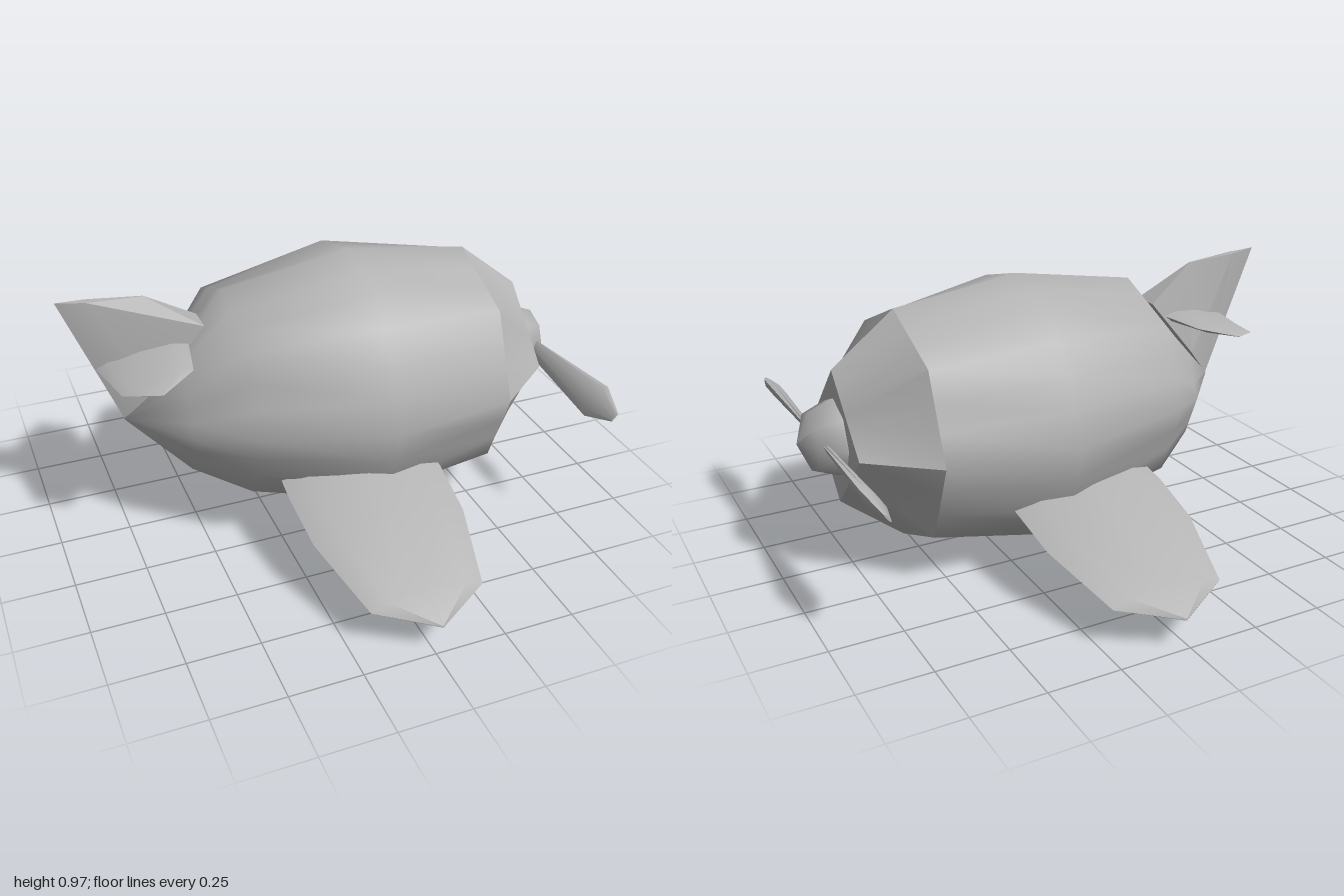
import * as THREE from 'three';
import { toCreasedNormals } from 'three/addons/utils/BufferGeometryUtils.js';

// Skin a list of equal-length point rings, cap both ends, face outwards.
function loft(rings, crease) {
  const n = rings[0].length, tris = [];
  for (let i = 0; i < rings.length - 1; i++) {
    for (let j = 0; j < n; j++) {
      const k = (j + 1) % n, a = rings[i], b = rings[i + 1];
      tris.push([a[j], a[k], b[k]], [a[j], b[k], b[j]]);
    }
  }
  const cap = (ring, flip) => {
    const c = [0, 1, 2].map(q => ring.reduce((s, p) => s + p[q], 0) / n);
    for (let j = 0; j < n; j++) {
      const k = (j + 1) % n;
      tris.push(flip ? [c, ring[k], ring[j]] : [c, ring[j], ring[k]]);
    }
  };
  cap(rings[0], true);
  cap(rings[rings.length - 1], false);

  const vec = p => new THREE.Vector3(...p);
  let volume = 0;
  const solid = tris.filter(t => {
    const [a, b, c] = t.map(vec);
    volume += a.dot(b.clone().cross(c));
    return b.sub(a).cross(c.sub(a)).length() > 1e-8;
  });
  const points = solid.flatMap(t => (volume < 0 ? [t[0], t[2], t[1]] : t).flat());
  const geo = new THREE.BufferGeometry();
  geo.setAttribute('position', new THREE.Float32BufferAttribute(points, 3));
  return toCreasedNormals(geo, crease);
}

// Regular polygon across x, sampled at 24 angles so that rings with
// different side counts can be joined.
function hullRing(x, cy, ry, rz, sides, lean = 0) {
  const step = (Math.PI * 2) / sides;
  return Array.from({ length: 24 }, (_, i) => {
    const a = (i / 24) * Math.PI * 2;
    const r = Math.cos(step / 2) / Math.cos((((i * sides) % 24) / 24) * Math.PI * 2 / sides - step / 2);
    return [x + lean * Math.cos(a), cy + ry * r * Math.cos(a), rz * r * Math.sin(a)];
  });
}

// Lens-shaped section across z; rise tilts the chord upwards towards the nose.
function foilRing(z, cx, cy, halfChord, halfThick, rise = 0) {
  return Array.from({ length: 8 }, (_, i) => {
    const a = (i / 8) * Math.PI * 2;
    const c = Math.cos(a), s = Math.sin(a);
    return [cx + halfChord * c - s * halfThick * (rise > 0.03 ? 0.7 : 0), cy + rise * c + halfThick * s, z];
  });
}

export function createModel() {
  const model = new THREE.Group();
  model.name = 'airplane';
  const grey = new THREE.MeshStandardMaterial({ color: 0xb4b4b4 });
  grey.name = 'plain grey';
  const add = (name, geo) => {
    const mesh = new THREE.Mesh(geo, grey);
    mesh.name = name;
    model.add(mesh);
  };

  // Barrel fuselage tapering to the tail
  add('fuselage', loft([
    hullRing(-0.73, 0.47, 0.004, 0.004, 8),
    hullRing(-0.54, 0.465, 0.218, 0.22, 8),
    hullRing(-0.36, 0.515, 0.385, 0.38, 8),
    hullRing(0.1, 0.49, 0.485, 0.485, 12),
    hullRing(0.555, 0.49, 0.42, 0.42, 8),
  ], 0.95));

  // Faceted nose ending in a diamond
  add('nose', loft([
    hullRing(0.555, 0.49, 0.42, 0.42, 8),
    hullRing(0.78, 0.49, 0.24, 0.24, 4),
  ], 0.5));

  // Propeller hub
  const hub = new THREE.LatheGeometry(
    [[0.14, 0.77], [0.14, 0.785], [0.105, 0.87], [0, 0.915]].map(p => new THREE.Vector2(...p)), 8);
  hub.rotateZ(-Math.PI / 2);
  hub.translate(0, 0.49, 0);
  add('propellerHub', hub);

  // Upright tail fin: sharp trailing edge, blunt root at the front
  const finRing = (front, wide, mid, midWide, rear) => [
    [...front, wide], [...mid, midWide], [...rear, 0], [...mid, -midWide], [...front, -wide],
  ];
  add('tailFin', loft([
    finRing([-0.44, 0.8], 0.05, [-0.63, 0.58], 0.045, [-0.73, 0.47]),
    finRing([-0.63, 0.925], 0.002, [-0.82, 0.94], 0.015, [-0.92, 0.95]),
  ], 0.3));

  // Horizontal tailplane
  add('tailplane', loft([
    foilRing(-0.3, -0.655, 0.715, 0.004, 0.002),
    foilRing(-0.22, -0.65, 0.715, 0.12, 0.015, 0.024),
    foilRing(0, -0.65, 0.715, 0.16, 0.026, 0.032),
    foilRing(0.22, -0.65, 0.715, 0.12, 0.015, 0.024),
    foilRing(0.3, -0.655, 0.715, 0.004, 0.002),
  ], 0.9));

  for (const [side, s] of [['left', -1], ['right', 1]]) {
    // Drooping wing
    add(side + 'Wing', loft([
      foilRing(s * 0.28, 0.015, 0.295, 0.28, 0.05),
      foilRing(s * 0.4, 0.015, 0.27, 0.285, 0.053),
      foilRing(s * 0.6, 0.015, 0.218, 0.275, 0.048),
      foilRing(s * 0.89, 0.0175, 0.14, 0.198, 0.034),
      foilRing(s * 1.0, 0.02, 0.112, 0.004, 0.004),
    ], 0.9));

    // Twisted propeller blade
    add(side + 'PropellerBlade', loft([
      foilRing(s * 0.05, 0.835, 0.49, 0.016, 0.015, 0.018),
      foilRing(s * 0.53, 0.835, 0.49, 0.042, 0.018, 0.05),
      foilRing(s * 0.645, 0.835, 0.49, 0.012, 0.006, 0.014),
    ], 0.8));
  }
  return model;
}
